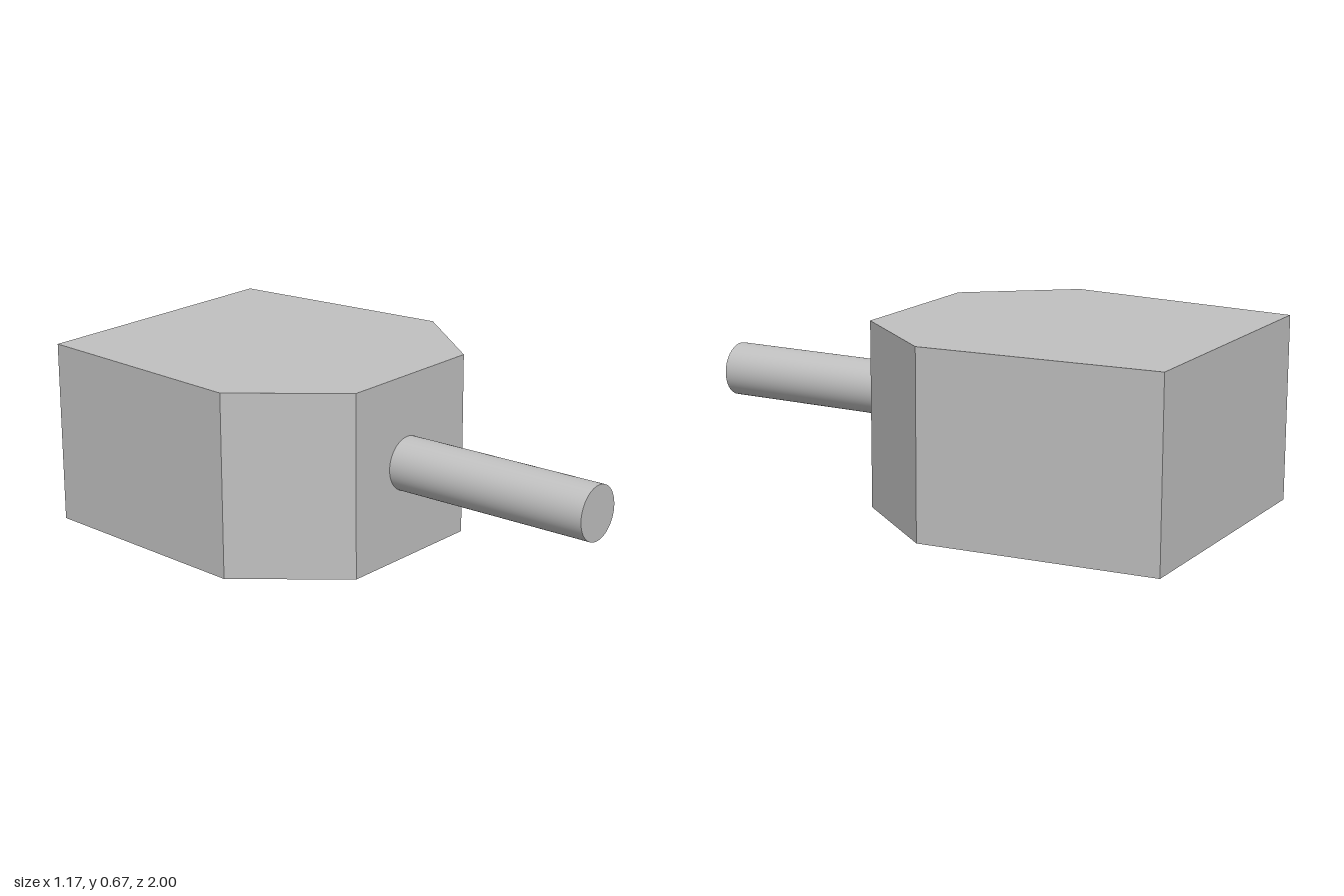
import * as THREE from 'three';

export function createModel() {
  const model = new THREE.Group();
  const grey = new THREE.MeshStandardMaterial({ color: 0xc0c0c0 });
  grey.name = 'light grey';

  // Six-sided block: plan outline as [half width, z], mirrored, extruded upwards
  const side = [[0.3, 0.212], [0.583, -0.143], [0.515, -1]];
  const outline = [
    ...side.map(([x, z]) => new THREE.Vector2(x, -z)),
    ...side.map(([x, z]) => new THREE.Vector2(-x, -z)).reverse(),
  ];
  const bodyGeometry = new THREE.ExtrudeGeometry(new THREE.Shape(outline), {
    depth: 0.668,
    bevelEnabled: false,
  });
  bodyGeometry.rotateX(-Math.PI / 2);
  const body = new THREE.Mesh(bodyGeometry, grey);
  body.name = 'body';
  model.add(body);

  // Round rod standing out of the front face, slightly off centre
  const rodStart = 0.2;
  const rodGeometry = new THREE.CylinderGeometry(0.098, 0.098, 1 - rodStart, 64);
  rodGeometry.rotateX(Math.PI / 2);
  const rod = new THREE.Mesh(rodGeometry, grey);
  rod.name = 'rod';
  rod.position.set(-0.021, 0.348, (1 + rodStart) / 2);
  model.add(rod);

  return model;
}
